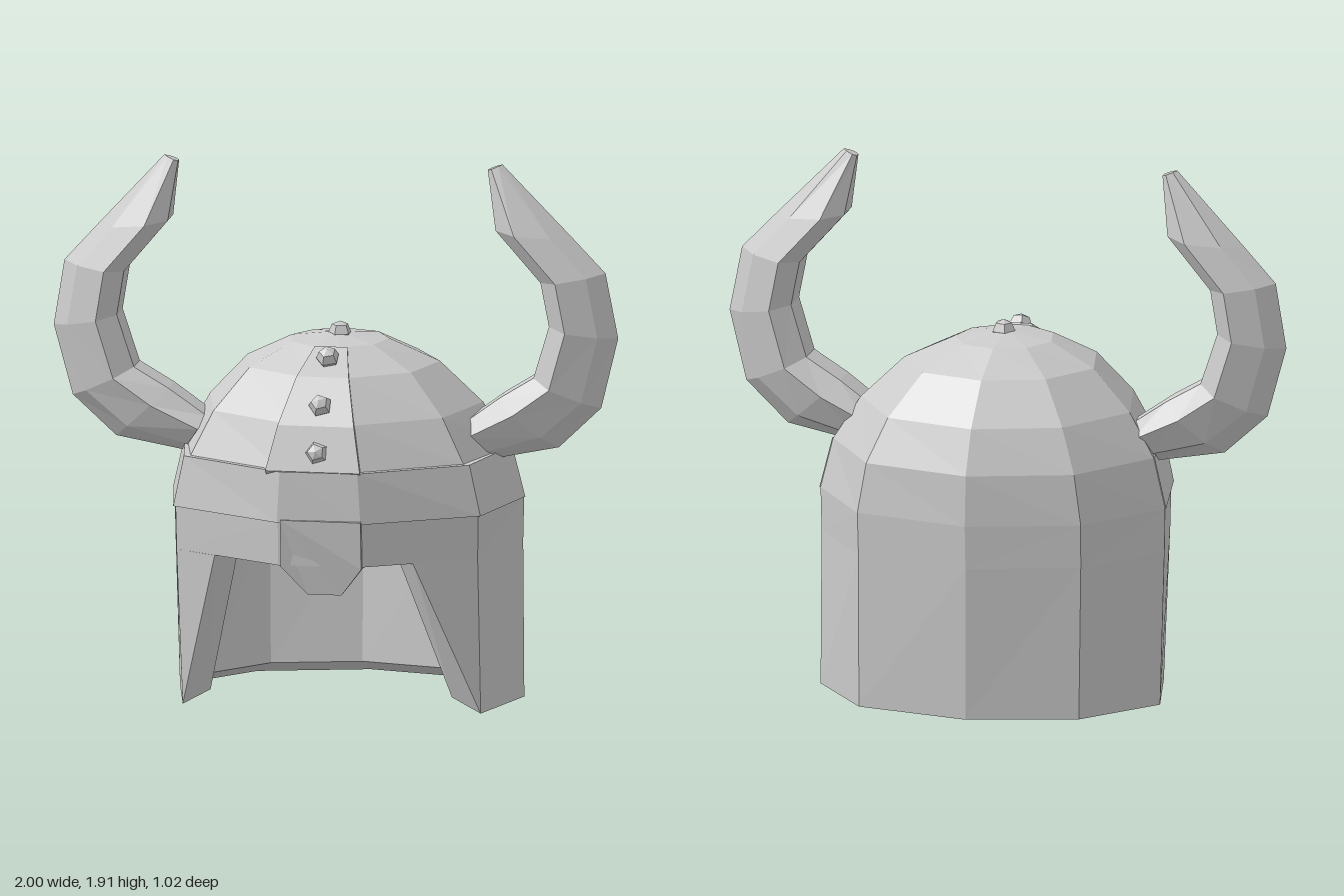
import * as THREE from 'three';

const material = new THREE.MeshStandardMaterial({
  color: 0xcccccc, flatShading: true, side: THREE.DoubleSide,
});

// Skins a list of cross-sections; faces are turned outward by signed volume.
function loft(sections, { closeI = false, caps = false, inward = false } = {}) {
  const tris = [];
  const n = sections.length, m = sections[0].length;
  for (let i = 0; i < (closeI ? n : n - 1); i++) {
    for (let j = 0; j < m; j++) {
      const a = sections[i], b = sections[(i + 1) % n], k = (j + 1) % m;
      tris.push([a[j], b[j], b[k]], [a[j], b[k], a[k]]);
    }
  }
  if (caps) {
    const s = sections[0], e = sections[n - 1];
    for (let j = 1; j < m - 1; j++) tris.push([s[0], s[j], s[j + 1]], [e[0], e[j + 1], e[j]]);
  }
  let volume = 0;
  const solid = tris.map((t) => t.map((p) => new THREE.Vector3(...p)))
    .filter(([a, b, c]) => b.clone().sub(a).cross(c.clone().sub(a)).length() > 1e-8);
  for (const [a, b, c] of solid) volume += a.dot(b.clone().cross(c));
  const flip = (volume < 0) !== inward;
  const points = solid.flatMap(([a, b, c]) => (flip ? [a, c, b] : [a, b, c]));
  const geometry = new THREE.BufferGeometry().setFromPoints(points);
  geometry.computeVertexNormals();
  return geometry;
}

// Nine-sided plan outline at the brow, from the front round the back.
const plan = [
  [-0.12, 0.5], [-0.52, 0.28], [-0.59, -0.1], [-0.36, -0.4], [0.03, -0.51],
  [0.44, -0.41], [0.65, -0.09], [0.55, 0.27], [0.17, 0.49],
];
const INNER = 0.81;
// Levels: height, width scale, depth scale, sideways shift
const levels = [
  [0.71, 1, 1], [0.89, 0.93, 0.99], [1.045, 0.78, 0.87],
  [1.19, 0.55, 0.63], [1.27, 0.28, 0.35], [1.295, 0, 0],
];
const isFront = (i) => i < 2 || i > 6;
const at = ([x, z], [y, sx, sz, shift = 0], k = 1) => [x * sx * k + shift, y, z * sz * k];

export function createModel() {
  const group = new THREE.Group();
  const add = (name, geometry) => {
    const mesh = new THREE.Mesh(geometry, material);
    mesh.name = name;
    group.add(mesh);
    return mesh;
  };

  // Dome, set back a little behind the brow band at the front
  const dome = levels.map((l) => plan.map((p, i) => at(p, l, isFront(i) ? 0.97 : 1)));
  add('dome', loft(dome));
  const lining = levels.map(([y, sx, sz]) =>
    plan.map((p) => at(p, [y > 0.71 ? y - 0.08 : y, sx, sz], INNER)));
  add('domeLining', loft(lining, { inward: true }));

  // Wall above the face opening
  const low = [0.555, 0.995, 0.98];
  add('browWall', loft(plan.map((p) => [
    at(p, levels[0]), at(p, low), at(p, low, INNER), at(p, levels[0], INNER),
  ]), { closeI: true }));

  // Neck and cheek guard, open at the face with slanted cheek edges
  const foot = [0, 0.985, 0.89, 0.012], innerFoot = [0.045, 0.985, 0.89, 0.005];
  const guard = plan.slice(1, 8).map((p) => [p, p]);
  guard.unshift([[-0.37, 0.365], plan[1]]);
  guard.push([[0.34, 0.39], plan[7]]);
  add('neckAndCheekGuard', loft(guard.map(([top, bottom]) => [
    at(top, low), at(bottom, foot), at(bottom, innerFoot, INNER), at(top, low, INNER),
  ]), { caps: true }));

  // Brow band round the front half
  const bandPlan = [6, 7, 8, 0, 1, 2].map((i) => [plan[i], isFront(i) ? 1.015 : 1.006]);
  add('browBand', loft(bandPlan.map(([p, k]) => [
    at(p, levels[0], k), at(p, levels[1], k),
    at(p, levels[1], 0.9), at(p, levels[0], 0.9),
  ]), { caps: true }));

  // Nose guard
  const nose = [
    [-0.11, 0.72, 0.513, 0.4], [-0.11, 0.55, 0.495, 0.38], [-0.02, 0.45, 0.465, 0.43],
    [0.1, 0.45, 0.465, 0.43], [0.175, 0.55, 0.495, 0.38], [0.175, 0.72, 0.513, 0.4],
  ];
  add('noseGuard', loft([
    nose.map(([x, y, z]) => [x, y, z]), nose.map(([x, y, , back]) => [x, y, back]),
  ], { caps: true }));

  // Raised centre strip: left x, right x, height, depth
  const strip = [
    [-0.165, 0.17, 0.892, 0.498], [-0.13, 0.14, 1.045, 0.445],
    [-0.085, 0.1, 1.195, 0.32], [-0.045, 0.07, 1.275, 0.175],
  ];
  add('centreStrip', loft(strip.map(([l, r, y, z]) => [
    [l, y, z], [r, y, z], [r, y - 0.04, z * 0.88], [l, y - 0.04, z * 0.88],
  ]), { caps: true }));

  // Five-sided studs facing out along the strip
  const studs = [[1.29, 0, 0, 1], [1.248, 0.245, 0.5, 0.87], [1.11, 0.4, 0.8, 0.6], [0.955, 0.472, 0.95, 0.3]];
  for (const [y, z, nz, ny] of studs) {
    const stud = add('stud', new THREE.SphereGeometry(0.042, 5, 4));
    stud.position.set(0.014, y, z);
    stud.quaternion.setFromUnitVectors(
      new THREE.Vector3(0, 1, 0), new THREE.Vector3(0, ny, nz).normalize());
  }

  // Horns: inner edge x, y, outer edge x, y, half depth of each section
  const horn = [
    [0.455, 0.99, 0.55, 0.86, 0.112], [0.59, 1.09, 0.79, 0.91, 0.12],
    [0.71, 1.165, 0.94, 1.055, 0.12], [0.765, 1.35, 1.0, 1.305, 0.12],
    [0.735, 1.505, 0.955, 1.535, 0.12], [0.575, 1.685, 0.84, 1.655, 0.112],
    [0.54, 1.89, 0.59, 1.91, 0.022],
  ];
  // Section flat on the inside and keen on the outside: share of width, share of depth
  const section = [
    [0, 0.5], [0.28, 1], [0.74, 0.62], [1, 0], [0.74, -0.62], [0.28, -1], [0, -0.5],
  ];
  for (const side of [1, -1]) {
    const rings = horn.map(([xi, yi, xo, yo, d]) => section.map(([t, s]) =>
      [side * (xi + (xo - xi) * t), yi + (yo - yi) * t, d * s + 0.006]));
    const mesh = add(side > 0 ? 'leftHorn' : 'rightHorn', loft(rings, { caps: true }));
    // The right horn leans out slightly more
    if (side < 0) {
      mesh.rotation.z = 0.03;
      mesh.position.set(0.039, 0.012, 0);
    }
  }

  return group;
}
